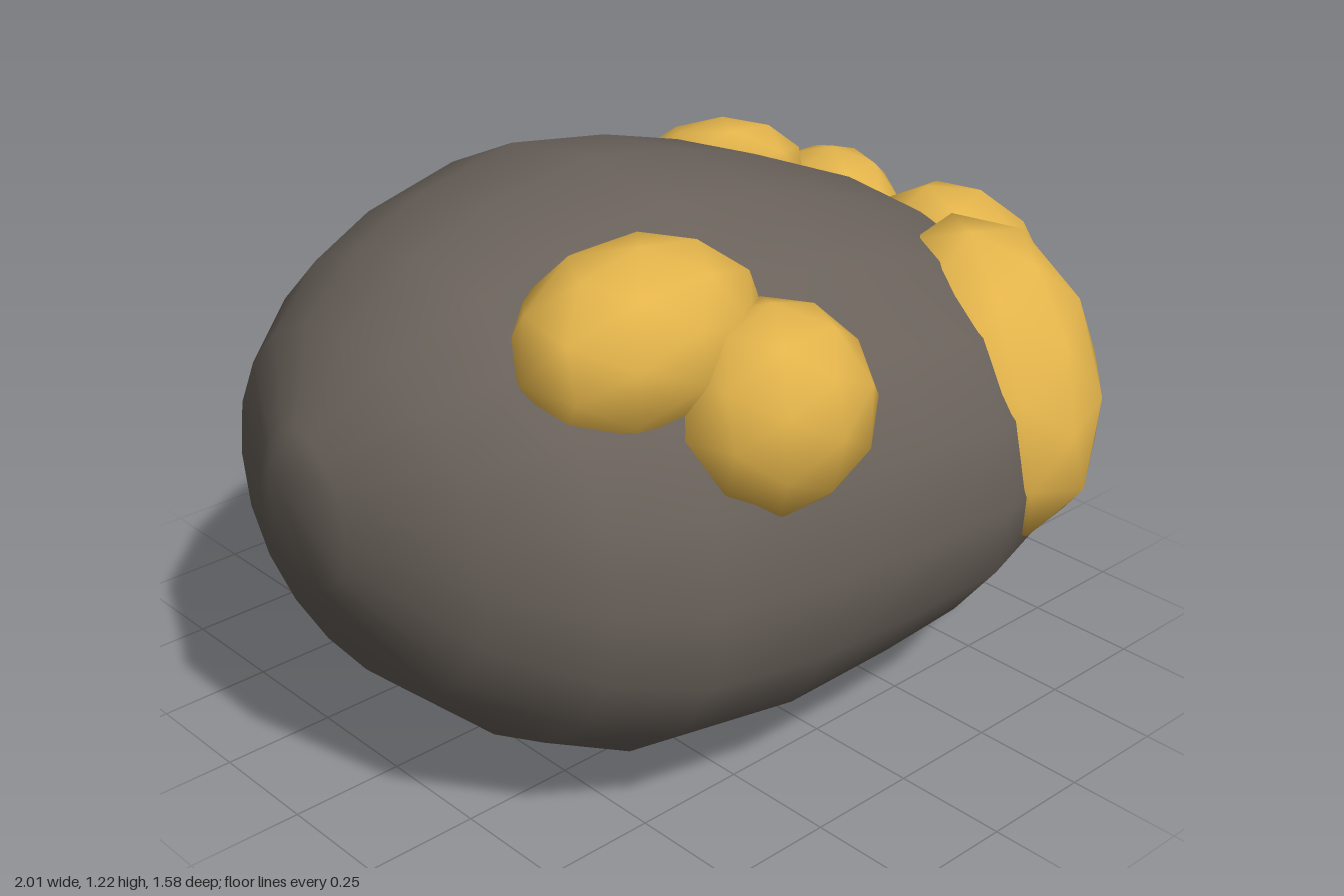
import * as THREE from 'three';
import { mergeVertices } from 'three/addons/utils/BufferGeometryUtils.js';

// Boulder cross-sections along x: [x, yLow, yHigh, zMin, zMax]
const SECTIONS = [
  [-1, 0.79, 0.79, 0, 0],
  [-0.96, 0.54, 0.87, -0.1, 0.18],
  [-0.85, 0.31, 1.04, -0.34, 0.46],
  [-0.67, 0.14, 1.14, -0.52, 0.62],
  [-0.48, 0.04, 1.19, -0.64, 0.7],
  [-0.2, 0, 1.22, -0.745, 0.75],
  [0.08, 0.02, 1.165, -0.79, 0.76],
  [0.3, 0.045, 1.1, -0.79, 0.755],
  [0.58, 0.11, 0.985, -0.66, 0.67],
  [0.72, 0.195, 0.89, -0.53, 0.53],
  [0.83, 0.28, 0.78, -0.37, 0.34],
  [0.895, 0.46, 0.67, -0.21, 0.13],
  [0.915, 0.56, 0.56, -0.08, -0.08],
];

// Loft of slightly squared ovals whose widest point sits below the middle
function boulderGeometry(sides) {
  const pos = [], index = [];
  const full = (t) => Math.sign(t) * Math.abs(t) ** 0.96;
  SECTIONS.forEach(([x, y0, y1, z0, z1], i) => {
    for (let j = 0; j < sides; j++) {
      const a = (j / sides) * Math.PI * 2, c = Math.cos(a), s = Math.sin(a);
      pos.push(x,
        (y0 + y1) / 2 + (full(c) - 0.08 * s * s) * (y1 - y0) / 2,
        (z0 + z1) / 2 + full(s) * (z1 - z0) / 2);
      if (i === SECTIONS.length - 1) continue;
      const k = (j + 1) % sides, p = i * sides, q = p + sides;
      if (i > 0) index.push(p + j, p + k, q + j);
      if (i < SECTIONS.length - 2) index.push(p + k, q + k, q + j);
    }
  });
  const geo = new THREE.BufferGeometry();
  geo.setAttribute('position', new THREE.Float32BufferAttribute(pos, 3));
  geo.setIndex(index);
  const merged = mergeVertices(geo);
  merged.computeVertexNormals();
  return merged;
}

// Slightly lumpy low-poly ball with smooth normals
function lumpGeometry(seed) {
  let geo = new THREE.IcosahedronGeometry(1, 1);
  geo.deleteAttribute('uv');
  geo.deleteAttribute('normal');
  geo = mergeVertices(geo, 1e-3);
  const p = geo.attributes.position, v = new THREE.Vector3();
  for (let i = 0; i < p.count; i++) {
    v.fromBufferAttribute(p, i);
    const wave = Math.sin(v.x * 3 + seed) * Math.cos(v.y * 4 + seed * 2) + Math.sin(v.z * 3.5 - seed);
    v.multiplyScalar(1.025 + 0.015 * wave);
    p.setXYZ(i, v.x, v.y, v.z);
  }
  geo.computeVertexNormals();
  return geo;
}

// Nuggets: centre, radii, direction of the local y axis
const NUGGETS = [
  { at: [-0.44, 1.025, 0.41], r: [0.27, 0.19, 0.2], axis: [-0.05, 1, 0.15] },
  { at: [-0.265, 0.89, 0.595], r: [0.215, 0.21, 0.19], axis: [0, 1, 0] },
  { at: [0.5, 0.69, 0.505], r: [0.26, 0.35, 0.22], axis: [0.22, 0.815, -0.54] },
  { at: [0.785, 0.74, 0.155], r: [0.19, 0.245, 0.215], axis: [-0.7, 0.7, -0.1] },
  { at: [0.69, 0.825, -0.155], r: [0.15, 0.165, 0.185], axis: [0, 1, 0] },
  { at: [0.49, 0.905, -0.34], r: [0.205, 0.135, 0.22], axis: [0.36, 0.78, -0.52] },
];

export function createModel() {
  const rock = new THREE.MeshStandardMaterial({ color: 0x6a625b });
  rock.name = 'rock grey';
  const gold = new THREE.MeshStandardMaterial({ color: 0xe3b44b });
  gold.name = 'gold';

  const model = new THREE.Group();
  model.name = 'goldOre';

  const boulder = new THREE.Mesh(boulderGeometry(20), rock);
  boulder.name = 'boulder';
  model.add(boulder);

  const up = new THREE.Vector3(0, 1, 0);
  NUGGETS.forEach(({ at, r, axis }, i) => {
    const nugget = new THREE.Mesh(lumpGeometry(i * 1.7), gold);
    nugget.name = `nugget${i + 1}`;
    nugget.position.set(...at);
    nugget.scale.set(...r);
    nugget.quaternion.setFromUnitVectors(up, new THREE.Vector3(...axis).normalize());
    model.add(nugget);
  });
  return model;
}
